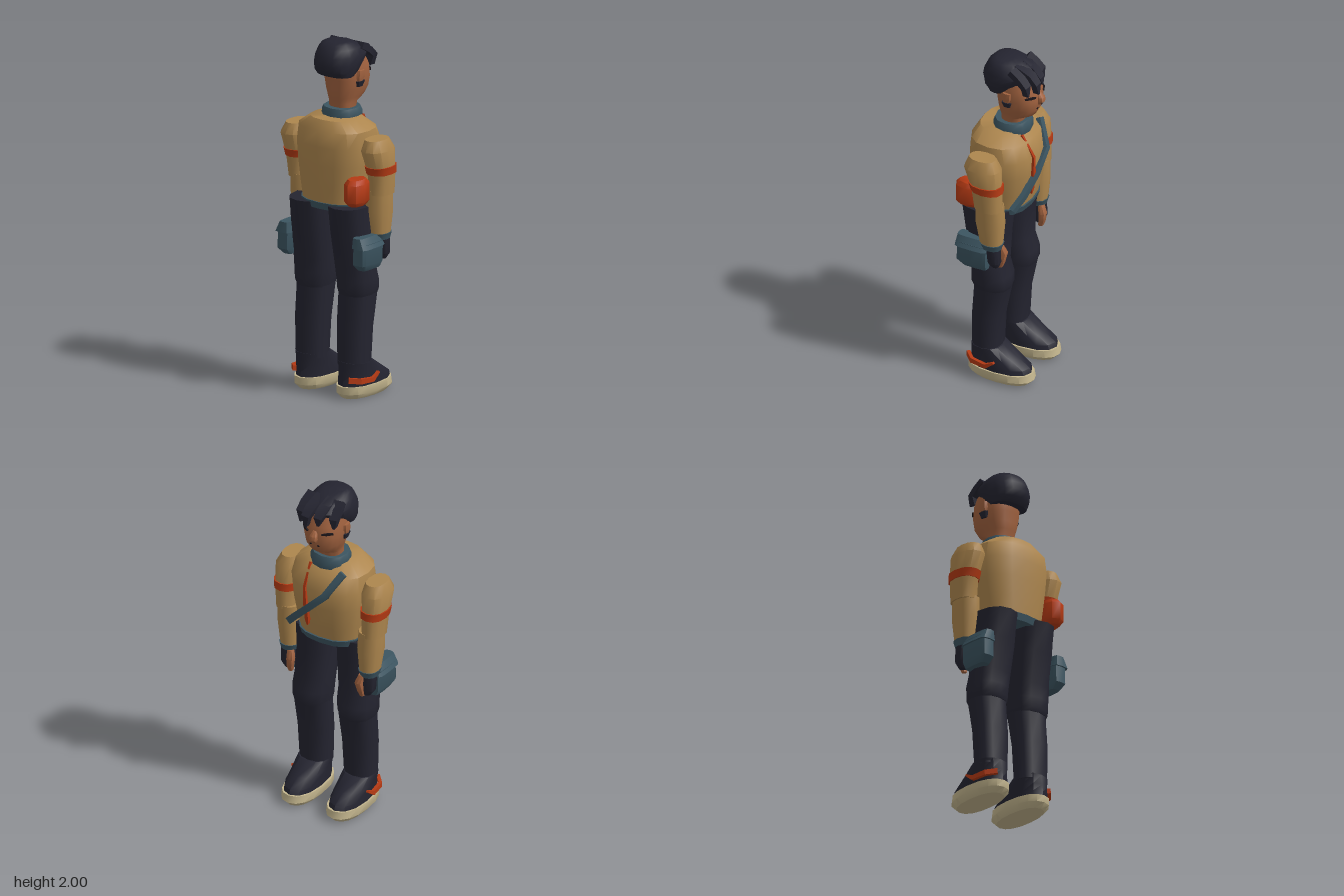
import * as THREE from 'three';
import { toCreasedNormals } from 'three/addons/utils/BufferGeometryUtils.js';

const mat = (name, color) => {
  const m = new THREE.MeshStandardMaterial({ color });
  m.name = name;
  return m;
};

// Closed skin over rings of points, each ring counter-clockwise about the path
function skin(rings, crease = 0.75) {
  const n = rings[0].length, pos = [], idx = [];
  rings.forEach(r => r.forEach(p => pos.push(p.x, p.y, p.z)));
  for (let i = 0; i < rings.length - 1; i++) {
    for (let j = 0; j < n; j++) {
      const k = (j + 1) % n;
      const a = i * n + j, b = i * n + k, c = a + n, d = b + n;
      idx.push(a, b, d, a, d, c);
    }
  }
  [rings[0], rings[rings.length - 1]].forEach((ring, e) => {
    const c = ring.reduce((s, p) => s.add(p), new THREE.Vector3()).divideScalar(n);
    const ci = pos.length / 3, base = e ? (rings.length - 1) * n : 0;
    pos.push(c.x, c.y, c.z);
    for (let j = 0; j < n; j++) {
      const a = base + j, b = base + (j + 1) % n;
      if (e) idx.push(ci, a, b); else idx.push(ci, b, a);
    }
  });
  const g = new THREE.BufferGeometry();
  g.setAttribute('position', new THREE.Float32BufferAttribute(pos, 3));
  g.setIndex(idx);
  return toCreasedNormals(g, crease);
}

// Upright loft; each section is [y, xMin, xMax, zMin, zMax], p squares the outline
function loft(sections, { side = 1, sides = 12, p = 2.3, crease } = {}) {
  const bend = v => Math.sign(v) * Math.pow(Math.abs(v), 2 / p);
  return skin(sections.map(([y, x0, x1, z0, z1]) =>
    Array.from({ length: sides }, (_, j) => {
      const a = j / sides * Math.PI * 2;
      return new THREE.Vector3(
        (x0 + x1) / 2 + bend(Math.cos(a)) * (x1 - x0) / 2, y,
        side * (z0 + z1) / 2 - bend(Math.sin(a)) * (z1 - z0) / 2);
    })), crease);
}

// Flat strip along points [x, y, z, width] that faces the given outward direction
function strip(points, outward, thick, side = 1) {
  const v = points.map(([x, y, z]) => new THREE.Vector3(x, y, z * side));
  const out = new THREE.Vector3(outward[0], outward[1], outward[2] * side);
  return skin(v.map((c, i) => {
    const t = v[Math.min(i + 1, v.length - 1)].clone().sub(v[Math.max(i - 1, 0)]).normalize();
    const o = out.clone().addScaledVector(t, -out.dot(t)).normalize();
    const s = t.clone().cross(o).multiplyScalar(points[i][3] / 2);
    o.multiplyScalar(thick / 2);
    return [[1, -1], [1, 1], [-1, 1], [-1, -1]].map(([a, b]) =>
      c.clone().addScaledVector(o, a).addScaledVector(s, b));
  }), 0.6);
}

export function createModel() {
  const navy = mat('navy', 0x242430), tan = mat('tan', 0xad864e), teal = mat('teal', 0x3c5561);
  const orange = mat('orange', 0xb53a14), skinTone = mat('skin', 0xa1623f);
  const cream = mat('cream', 0xc4b68e), ink = mat('ink', 0x1c161a);

  const model = new THREE.Group();
  model.name = 'figure';
  const group = name => {
    const g = new THREE.Group();
    g.name = name;
    model.add(g);
    return g;
  };
  const add = (parent, name, geo, material) => {
    const m = new THREE.Mesh(geo, material);
    m.name = name;
    parent.add(m);
  };
  // Sections that are symmetric about the middle plane: [y, xMin, xMax, halfWidth]
  const mid = list => list.map(([y, a, b, h]) => [y, a, b, -h, h]);

  // Jacket
  const torso = group('torso');
  add(torso, 'jacket', loft(mid([
    [1.08, -0.19, 0.12, 0.185], [1.2, -0.2, 0.15, 0.205], [1.32, -0.205, 0.168, 0.225],
    [1.43, -0.21, 0.175, 0.235], [1.52, -0.2, 0.14, 0.22], [1.575, -0.165, 0.08, 0.14],
  ]), { sides: 16, p: 2.5 }), tan);
  add(torso, 'hem', loft(mid([[1.07, -0.19, 0.125, 0.19], [1.11, -0.2, 0.138, 0.199]]),
    { sides: 16, p: 2.5 }), teal);
  add(torso, 'collar', loft(mid([
    [1.52, -0.08, 0.105, 0.095], [1.55, -0.095, 0.115, 0.11], [1.6, -0.092, 0.115, 0.11], [1.62, -0.085, 0.105, 0.1],
  ])), teal);
  add(torso, 'zipper', strip([
    [0.1, 1.555, 0.072, 0.012], [0.17, 1.43, 0.066, 0.016], [0.168, 1.32, 0.062, 0.022],
    [0.156, 1.22, 0.058, 0.024], [0.15, 1.185, 0.058, 0.008],
  ], [1, 0.1, 0.1], 0.02), orange);
  add(torso, 'strap', strip([
    [0.1, 1.55, -0.14, 0.04], [0.178, 1.42, -0.07, 0.04], [0.175, 1.31, 0.04, 0.04],
    [0.15, 1.21, 0.14, 0.04], [0.115, 1.14, 0.205, 0.04],
  ], [1, 0, 0.1], 0.028), teal);
  add(torso, 'bedroll', loft([
    [1.125, -0.2, -0.08, 0.185, 0.265], [1.15, -0.222, -0.06, 0.17, 0.283],
    [1.25, -0.222, -0.06, 0.17, 0.283], [1.275, -0.2, -0.08, 0.185, 0.265],
  ], { sides: 8, crease: 0.9 }), orange);

  // Head
  const head = group('head');
  add(head, 'face', loft(mid([
    [1.58, -0.045, 0.075, 0.075], [1.645, -0.05, 0.09, 0.074], [1.675, -0.06, 0.15, 0.085],
    [1.72, -0.065, 0.175, 0.103], [1.78, -0.07, 0.18, 0.115], [1.85, -0.08, 0.17, 0.115],
    [1.92, -0.06, 0.13, 0.1],
  ]), { sides: 20, p: 2.4 }), skinTone);
  add(head, 'nose', loft(mid([
    [1.75, 0.16, 0.188, 0.018], [1.77, 0.16, 0.207, 0.025], [1.795, 0.16, 0.205, 0.024], [1.82, 0.15, 0.18, 0.012],
  ]), { sides: 8 }), skinTone);
  add(head, 'hair', loft(mid([
    [1.81, -0.115, 0.02, 0.112], [1.84, -0.145, 0.075, 0.122], [1.88, -0.157, 0.125, 0.126],
    [1.925, -0.15, 0.16, 0.126], [1.965, -0.13, 0.115, 0.11], [1.99, -0.105, 0.06, 0.088], [2, -0.08, 0.02, 0.065],
  ]), { sides: 16 }), navy);
  // Fringe locks: [z at root, z at tip, furthest x, tip height]
  [[-0.035, -0.02, 0.175, 1.86], [0.035, 0.05, 0.19, 1.84], [0.09, 0.105, 0.155, 1.84], [-0.085, -0.1, 0.14, 1.85]]
    .forEach(([z0, z1, x, y]) => add(head, 'fringeLock', strip([
      [0.05, 1.972, z0, 0.06], [x - 0.045, 1.935, (z0 + z1) / 2, 0.062],
      [x - 0.01, 1.9, z1, 0.05], [x - 0.01, y, z1 - 0.004, 0.012],
    ], [1, 0.4, z0], 0.035), navy));
  for (const s of [1, -1]) {
    add(head, 'ear', loft([
      [1.765, 0.01, 0.045, 0.09, 0.122], [1.8, 0, 0.06, 0.09, 0.132], [1.835, 0.005, 0.06, 0.09, 0.13],
    ], { side: s, sides: 8 }), skinTone);
    add(head, 'sideburn', loft([
      [1.742, 0.01, 0.05, 0.09, 0.118], [1.775, 0, 0.062, 0.09, 0.128],
    ], { side: s, sides: 8, p: 4 }), navy);
    add(head, 'eye', strip([
      [0.174, 1.808, 0.045, 0.008], [0.163, 1.814, 0.072, 0.014], [0.136, 1.812, 0.098, 0.008],
    ], [1, 0, 0.6], 0.009, s), ink);
    add(head, 'mouthCorner', strip([
      [0.174, 1.733, 0.018, 0.006], [0.171, 1.728, 0.03, 0.008],
    ], [1, 0, 0.2], 0.009, s), ink);
  }

  // Arms and legs, mirrored across the middle plane
  for (const s of [1, -1]) {
    const opt = { side: s };
    const arm = group(s > 0 ? 'rightArm' : 'leftArm');
    add(arm, 'upperSleeve', loft([
      [1.17, -0.072, 0.088, 0.22, 0.343], [1.3, -0.088, 0.088, 0.22, 0.352],
      [1.43, -0.135, 0.08, 0.205, 0.36], [1.49, -0.11, 0.048, 0.225, 0.33],
    ], opt), tan);
    add(arm, 'armBand', loft([
      [1.29, -0.091, 0.096, 0.212, 0.357], [1.335, -0.105, 0.093, 0.208, 0.362],
    ], opt), orange);
    add(arm, 'forearmSleeve', loft([
      [0.935, -0.048, 0.08, 0.205, 0.315], [1.07, -0.072, 0.092, 0.193, 0.332], [1.19, -0.072, 0.086, 0.2, 0.334],
    ], opt), tan);
    add(arm, 'cuff', loft([
      [0.905, -0.035, 0.075, 0.213, 0.31], [0.942, -0.05, 0.086, 0.2, 0.321],
    ], opt), teal);
    add(arm, 'glove', loft([
      [0.785, 0.02, 0.06, 0.235, 0.28], [0.82, 0, 0.074, 0.225, 0.305], [0.92, -0.01, 0.07, 0.222, 0.308],
    ], opt), navy);
    add(arm, 'fingers', loft([
      [0.775, 0.04, 0.07, 0.222, 0.248], [0.81, 0.045, 0.085, 0.212, 0.255],
      [0.865, 0.05, 0.096, 0.2, 0.25], [0.91, 0.04, 0.075, 0.215, 0.255],
    ], { side: s, sides: 8 }), skinTone);

    const leg = group(s > 0 ? 'rightLeg' : 'leftLeg');
    add(leg, 'thigh', loft([
      [0.585, -0.14, 0.07, 0.045, 0.248], [0.61, -0.15, 0.08, 0.04, 0.257], [0.67, -0.15, 0.077, 0.034, 0.26],
      [0.75, -0.155, 0.05, 0.03, 0.258], [0.93, -0.19, 0.06, 0.02, 0.255], [1.1, -0.22, 0.08, 0.02, 0.25],
    ], opt), navy);
    add(leg, 'shin', loft([
      [0.18, -0.15, 0.02, 0.055, 0.238], [0.4, -0.148, 0.03, 0.046, 0.247], [0.6, -0.135, 0.072, 0.043, 0.25],
    ], opt), navy);
    add(leg, 'shoe', loft([
      [0.05, -0.168, 0.208, 0.055, 0.242], [0.1, -0.166, 0.195, 0.055, 0.242],
      [0.145, -0.16, 0.125, 0.056, 0.24], [0.205, -0.153, 0.03, 0.055, 0.242],
    ], opt), navy);
    add(leg, 'sole', loft([
      [0, -0.15, 0.19, 0.07, 0.226], [0.03, -0.178, 0.22, 0.045, 0.251], [0.072, -0.178, 0.212, 0.046, 0.25],
    ], { side: s, sides: 16 }), cream);
    add(leg, 'shoeStripe', strip([
      [-0.168, 0.115, 0.19, 0.03], [-0.12, 0.108, 0.237, 0.03], [-0.03, 0.103, 0.249, 0.026], [0.02, 0.135, 0.247, 0.012],
    ], [-0.2, 0, 1], 0.02, s), orange);
    add(leg, 'pouch', loft([
      [0.755, -0.155, -0.005, 0.23, 0.29], [0.79, -0.188, 0, 0.22, 0.31], [0.91, -0.185, 0.003, 0.22, 0.31],
    ], { side: s, p: 4.5 }), teal);
    add(leg, 'pouchFlap', loft([
      [0.885, -0.196, 0.006, 0.215, 0.322], [0.945, -0.19, -0.01, 0.225, 0.29],
    ], { side: s, p: 4.5 }), teal);
  }
  return model;
}
